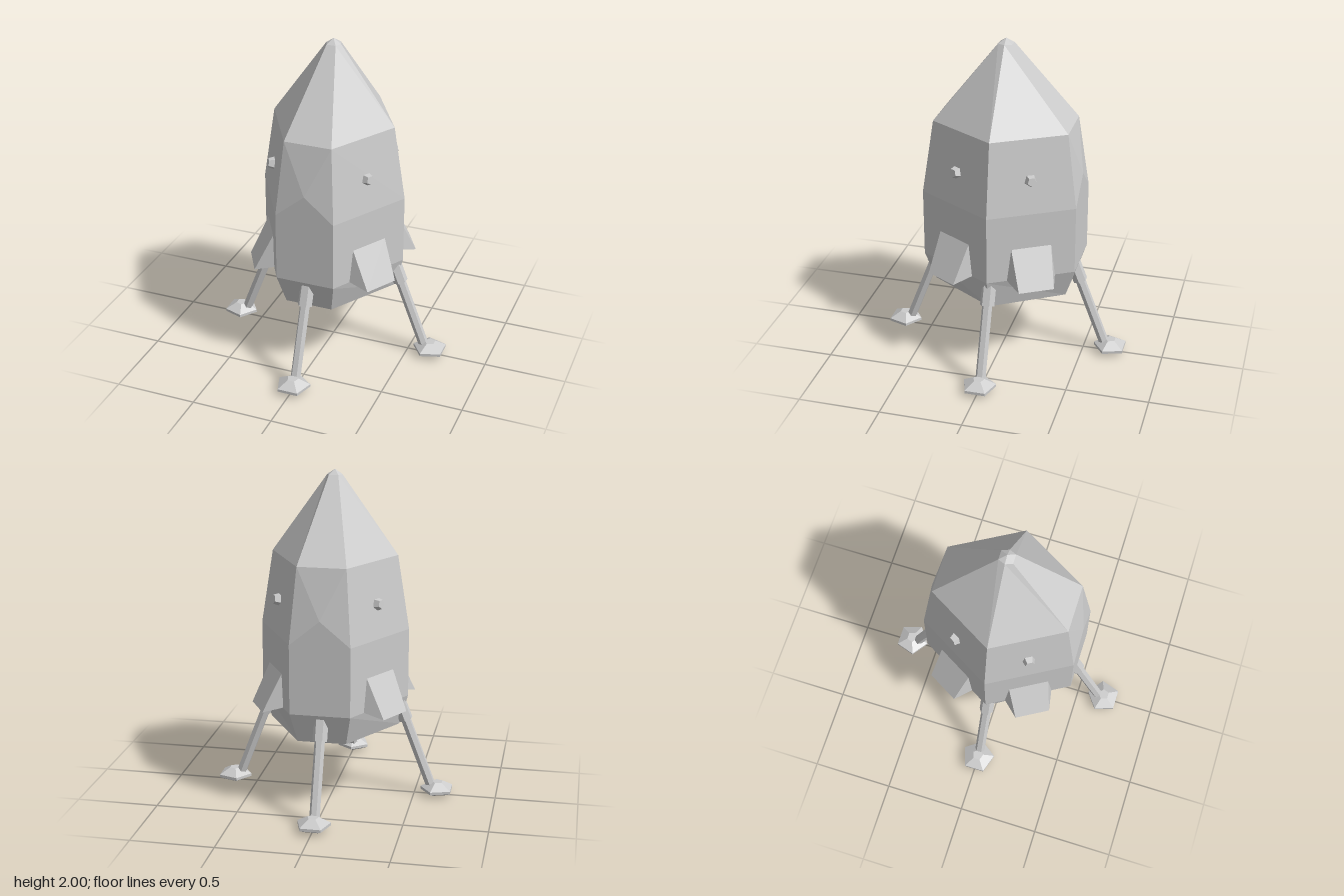
import * as THREE from 'three';
import { ConvexGeometry } from 'three/addons/geometries/ConvexGeometry.js';

const grey = new THREE.MeshStandardMaterial({ color: 0xcccccc, flatShading: true });

function part(name, geometry, parent) {
  const mesh = new THREE.Mesh(geometry, grey);
  mesh.name = name;
  parent.add(mesh);
  return mesh;
}

// Six-sided hull from stacked rings: [y, side corner x, panel corner x, panel corner z]
function hullGeometry() {
  const rings = [
    [0.445, 0.4, 0.145, 0.41],
    [0.63, 0.452, 0.18, 0.47],
    [1.05, 0.452, 0.18, 0.47],
    [1.5, 0.38, 0.145, 0.407],
    [1.97, 0.045, 0.028, 0.042],
  ].map(([y, x, px, pz]) =>
    [[x, 0], [px, pz], [-px, pz], [-x, 0], [-px, -pz], [px, -pz]].map(([a, b]) => [a, y, b]));
  const pos = [];
  const tri = (a, b, c) => pos.push(...a, ...b, ...c);
  for (let r = 0; r < rings.length - 1; r++) {
    for (let i = 0; i < 6; i++) {
      const j = (i + 1) % 6;
      const loop = [rings[r][i], rings[r + 1][i], rings[r + 1][j], rings[r][j]];
      if (r === 2 && i % 3 === 1) {
        // front and back shoulder panels bulge around a middle point
        const mid = [0, 1.2, i === 1 ? 0.47 : -0.47];
        loop.forEach((p, k) => tri(p, loop[(k + 1) % 4], mid));
      } else {
        tri(loop[0], loop[1], loop[2]);
        tri(loop[0], loop[2], loop[3]);
      }
    }
  }
  // nose tip and flat floor
  for (let i = 0; i < 6; i++) {
    const j = (i + 1) % 6;
    tri(rings[4][i], [0, 2, 0], rings[4][j]);
    tri(rings[0][j], [0, 0.445, 0], rings[0][i]);
  }
  const g = new THREE.BufferGeometry();
  g.setAttribute('position', new THREE.Float32BufferAttribute(pos, 3));
  g.computeVertexNormals();
  return g;
}

// Six-sided rod in the YZ plane between two [y, z] points
function rod(name, radius, [y0, z0], [y1, z1], parent) {
  const length = Math.hypot(y1 - y0, z1 - z0);
  const g = new THREE.CylinderGeometry(radius, radius, length, 6, 1, false, Math.PI / 6);
  const mesh = part(name, g, parent);
  mesh.position.set(0, (y0 + y1) / 2, (z0 + z1) / 2);
  mesh.rotation.x = Math.atan2(z1 - z0, y1 - y0);
}

// Landing leg reaching out along +z
function makeLeg(shift) {
  const leg = new THREE.Group();
  leg.name = 'landingLeg';
  rod('strut', 0.031, [0.04, 0.608 + shift], [0.55, 0.413 + shift], leg);
  rod('sleeve', 0.044, [0.475, 0.442 + shift], [0.6, 0.394 + shift], leg);
  const profile = [[0, 0], [0.06, 0.008], [0.105, 0.028], [0.105, 0.045], [0.035, 0.083], [0, 0.083]];
  const foot = part('footPad', new THREE.LatheGeometry(
    profile.map(([x, y]) => new THREE.Vector2(x, y)), 5, Math.PI), leg);
  foot.position.z = 0.643 + shift;
  return leg;
}

// Wedge and knob for one slanted hull side; local z points outward
function makeSideFittings() {
  const side = new THREE.Group();
  side.name = 'sideFittings';
  const points = [];
  for (const s of [-1, 1]) {
    for (const [x, y, z] of [[0.122, 0.835, 0], [0.107, 0.6, 0.117], [0.15, 0.632, -0.005], [0.12, 0.8, -0.03]]) {
      points.push(new THREE.Vector3(s * x, y, z));
    }
  }
  part('wedgeFin', new ConvexGeometry(points), side);
  const knob = part('knob', new THREE.CylinderGeometry(0.028, 0.043, 0.05, 5), side);
  knob.position.set(0, 1.255, -0.018);
  knob.rotation.x = Math.PI / 2 - 0.13;
  return side;
}

export function createModel() {
  const model = new THREE.Group();
  model.name = 'lander';
  part('hull', hullGeometry(), model);

  for (let k = 0; k < 4; k++) {
    const leg = makeLeg(k % 2 ? 0 : 0.03);
    leg.rotation.y = k * Math.PI / 2;
    model.add(leg);
  }

  for (const sx of [-1, 1]) {
    for (const sz of [-1, 1]) {
      const side = makeSideFittings();
      side.position.set(sx * 0.315, 0, sz * 0.235);
      side.rotation.y = Math.atan2(sx * 0.866, sz * 0.5);
      model.add(side);
    }
  }
  return model;
}
